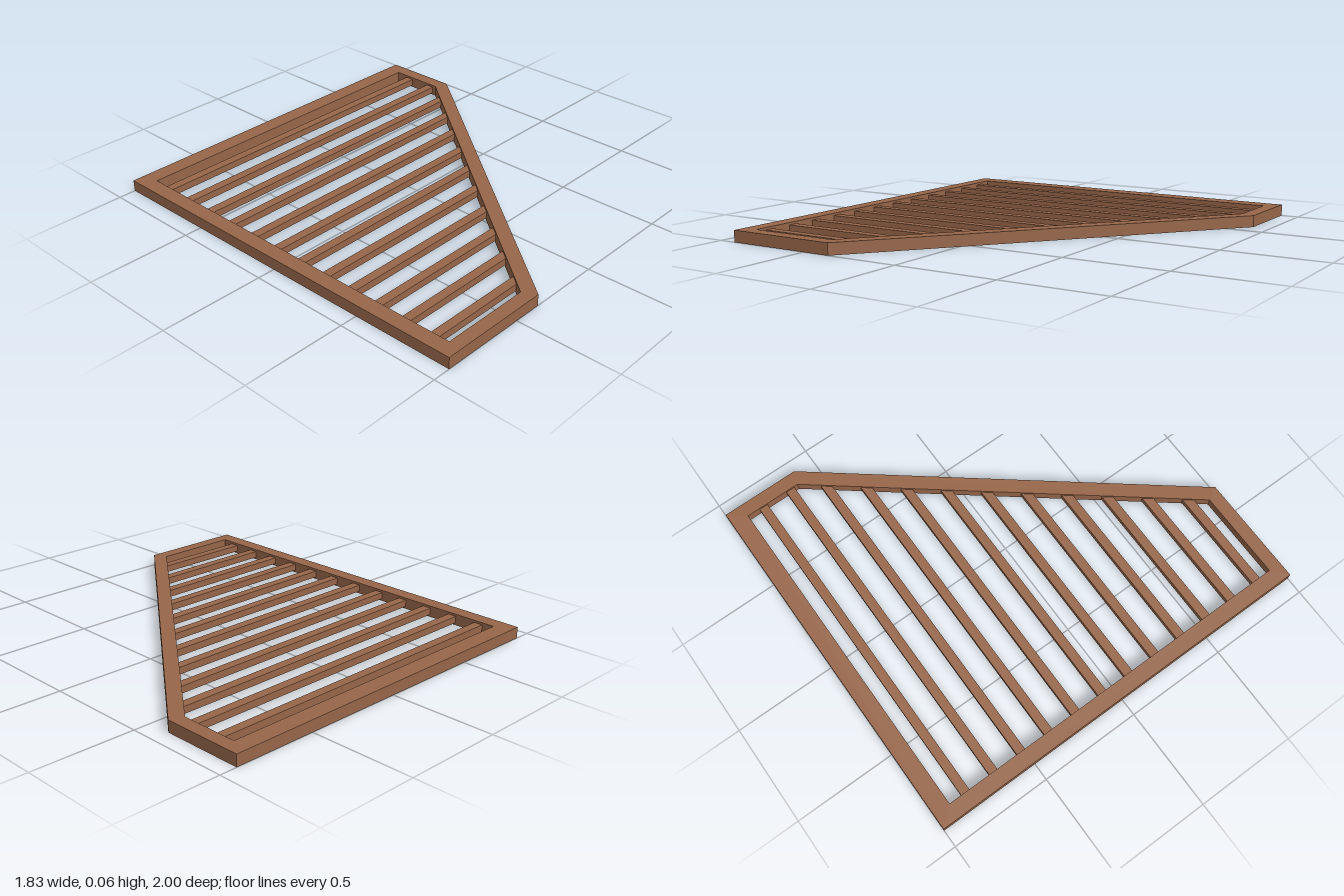
import * as THREE from 'three';

const HEIGHT = 0.056;

export function createModel() {
  const model = new THREE.Group();
  model.name = 'slattedPanel';
  const wood = new THREE.MeshStandardMaterial({ color: 0x976649 });
  wood.name = 'brown wood';

  // Plan outlines as [x, z]
  const points = list => list.map(([x, z]) => new THREE.Vector2(x, z));
  const outer = points([[-0.915, -1], [0.915, -1], [0.915, -0.61], [-0.36, 1], [-0.915, 1]]);
  const inner = points([[-0.84, -0.915], [0.848, -0.915], [0.848, -0.635], [-0.395, 0.935], [-0.84, 0.935]]);

  // Five-sided frame with a slanted edge
  const outline = new THREE.Shape(outer);
  outline.holes.push(new THREE.Path(inner));
  const frameGeometry = new THREE.ExtrudeGeometry(outline, { depth: HEIGHT, bevelEnabled: false });
  frameGeometry.rotateX(Math.PI / 2).translate(0, HEIGHT, 0);
  const frame = new THREE.Mesh(frameGeometry, wood);
  frame.name = 'frame';
  model.add(frame);

  // Slats run from the straight side to the slanted edge, ends housed in the frame
  const slats = new THREE.Group();
  slats.name = 'slats';
  const [, , top, bottom] = inner;
  const slope = (bottom.x - top.x) / (bottom.y - top.y);
  const start = -0.86;
  for (let i = 0; i < 12; i++) {
    const z = -0.83 + i * 0.1532;
    const end = Math.min(top.x, top.x + (z - top.y) * slope) + 0.035;
    const slat = new THREE.Mesh(new THREE.BoxGeometry(end - start, 0.034, 0.045), wood);
    slat.position.set((start + end) / 2, HEIGHT / 2, z);
    slat.name = `slat${i + 1}`;
    slats.add(slat);
  }
  model.add(slats);
  return model;
}
